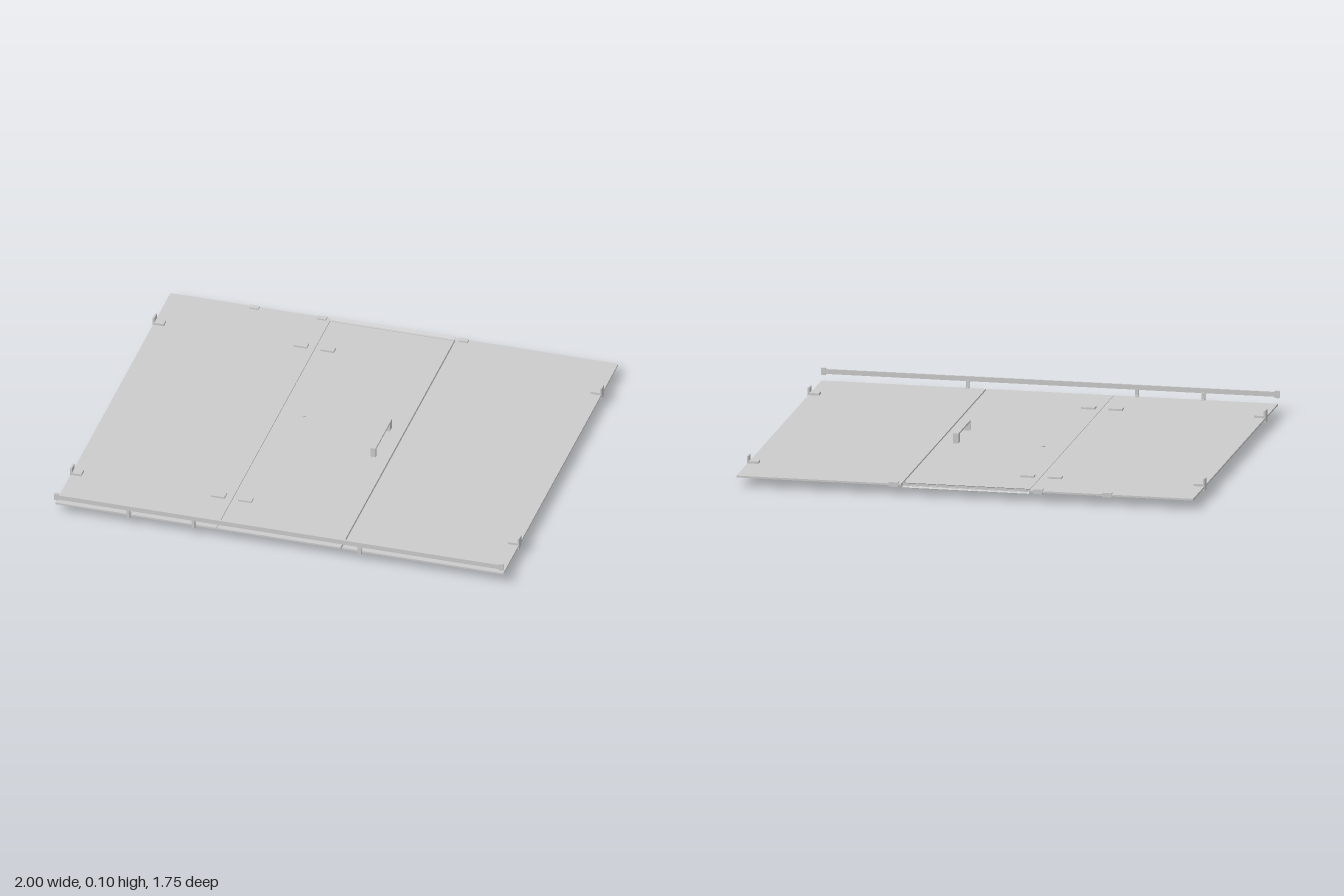
import * as THREE from 'three';

const material = new THREE.MeshStandardMaterial({ color: 0xcccccc, flatShading: true });

// Box given by its limits on each axis
function block(parent, name, [x0, x1], [y0, y1], [z0, z1]) {
  const mesh = new THREE.Mesh(new THREE.BoxGeometry(x1 - x0, y1 - y0, z1 - z0), material);
  mesh.name = name;
  mesh.position.set((x0 + x1) / 2, (y0 + y1) / 2, (z0 + z1) / 2);
  parent.add(mesh);
  return mesh;
}

function part(parent, name) {
  const group = new THREE.Group();
  group.name = name;
  parent.add(group);
  return group;
}

const GLASS = [0.041, 0.049];

export function createModel() {
  const model = new THREE.Group();
  model.name = 'showerScreen';

  // Glass: fixed panel, hinged door, fixed panel
  block(model, 'fixedPanelRight', [-0.997, -0.281], GLASS, [-0.877, 0.861]);
  block(model, 'door', [-0.279, 0.273], GLASS, [-0.862, 0.861]);
  block(model, 'fixedPanelLeft', [0.279, 0.997], GLASS, [-0.877, 0.861]);

  // Support rail with end sockets and brackets that grip the glass edge
  const rail = part(model, 'supportRail');
  block(rail, 'railBar', [-0.99, 0.99], [0.077, 0.098], [0.868, 0.877]);
  for (const s of [-1, 1]) {
    const x = s * 0.99;
    block(rail, 'railEnd', [x - 0.01, x + 0.01], [0.072, 0.103], [0.865, 0.877]);
  }
  for (const x of [-0.67, -0.38, 0.36]) {
    const bracket = part(rail, 'railBracket');
    block(bracket, 'bracketPost', [x - 0.007, x + 0.007], [0.037, 0.079], [0.864, 0.876]);
    for (const y of [0.037, 0.049])
      block(bracket, 'bracketJaw', [x - 0.007, x + 0.007], [y, y + 0.004], [0.848, 0.866]);
  }

  // Wall clips: upright wall plate and two clamping plates
  for (const s of [-1, 1]) {
    for (const z of [-0.634, 0.612]) {
      const clip = part(model, 'wallClip');
      const zs = [z - 0.019, z + 0.019];
      const span = (a, b) => (s < 0 ? [-b, -a] : [a, b]);
      block(clip, 'wallPlate', span(0.992, 1), [0.03, 0.082], zs);
      block(clip, 'upperJaw', span(0.95, 0.994), [0.049, 0.059], zs);
      block(clip, 'lowerJaw', span(0.95, 0.994), [0.031, 0.041], zs);
    }
  }

  // Door hinges: a pair of plates above and below, with a pivot between them
  for (const z of [-0.634, 0.612]) {
    const hinge = part(model, 'hinge');
    const zs = [z - 0.018, z + 0.018];
    for (const x of [-0.343, -0.223]) {
      block(hinge, 'upperPlate', [x - 0.03, x + 0.03], [0.049, 0.057], zs);
      block(hinge, 'lowerPlate', [x - 0.03, x + 0.03], [0.033, 0.041], zs);
    }
    block(hinge, 'pivot', [-0.314, -0.252], [0.034, 0.04], [z - 0.01, z + 0.01]);
  }

  // Small clips on the far edge of the fixed panels
  for (const x of [-0.62, -0.318, 0.313]) {
    const clip = part(model, 'edgeClip');
    const xs = [x - 0.02, x + 0.02];
    block(clip, 'upperJaw', xs, [0.049, 0.055], [-0.877, -0.853]);
    block(clip, 'lowerJaw', xs, [0.035, 0.041], [-0.877, -0.853]);
  }

  // Door sweep: two flaps spreading from the door edge
  const sweep = part(model, 'doorSweep');
  for (const s of [-1, 1]) {
    const y = 0.045 + s * 0.0055;
    block(sweep, 'sweepSleeve', [-0.279, 0.273], [y - 0.001, y + 0.001], [-0.866, -0.852]);
    const flap = block(sweep, 'sweepFlap', [-0.279, 0.273], [-0.001, 0.001], [-0.008, 0.008]);
    flap.position.set(-0.003, 0.045 + s * 0.0085, -0.869);
    flap.rotation.x = s * 0.4;
  }

  // Pull handle above the door
  const handle = part(model, 'pullHandle');
  block(handle, 'grip', [0.19, 0.213], [0.085, 0.093], [-0.118, 0.13]);
  for (const z of [-0.112, 0.124])
    block(handle, 'gripPost', [0.19, 0.213], [0.049, 0.086], [z - 0.006, z + 0.006]);

  // Towel bar below the door, with its fixing caps on the upper face
  const towel = part(model, 'towelBar');
  block(towel, 'bar', [-0.181, 0.213], [0, 0.007], [-0.111, -0.085]);
  for (const x of [-0.175, 0.207])
    block(towel, 'barPost', [x - 0.006, x + 0.006], [0.006, 0.041], [-0.111, -0.085]);
  block(towel, 'innerMount', [0.19, 0.213], [0.049, 0.086], [-0.111, -0.085]);
  const cap = new THREE.Mesh(new THREE.CylinderGeometry(0.009, 0.009, 0.004, 16), material);
  cap.name = 'fixingCap';
  cap.position.set(-0.175, 0.051, -0.098);
  towel.add(cap);

  return model;
}
